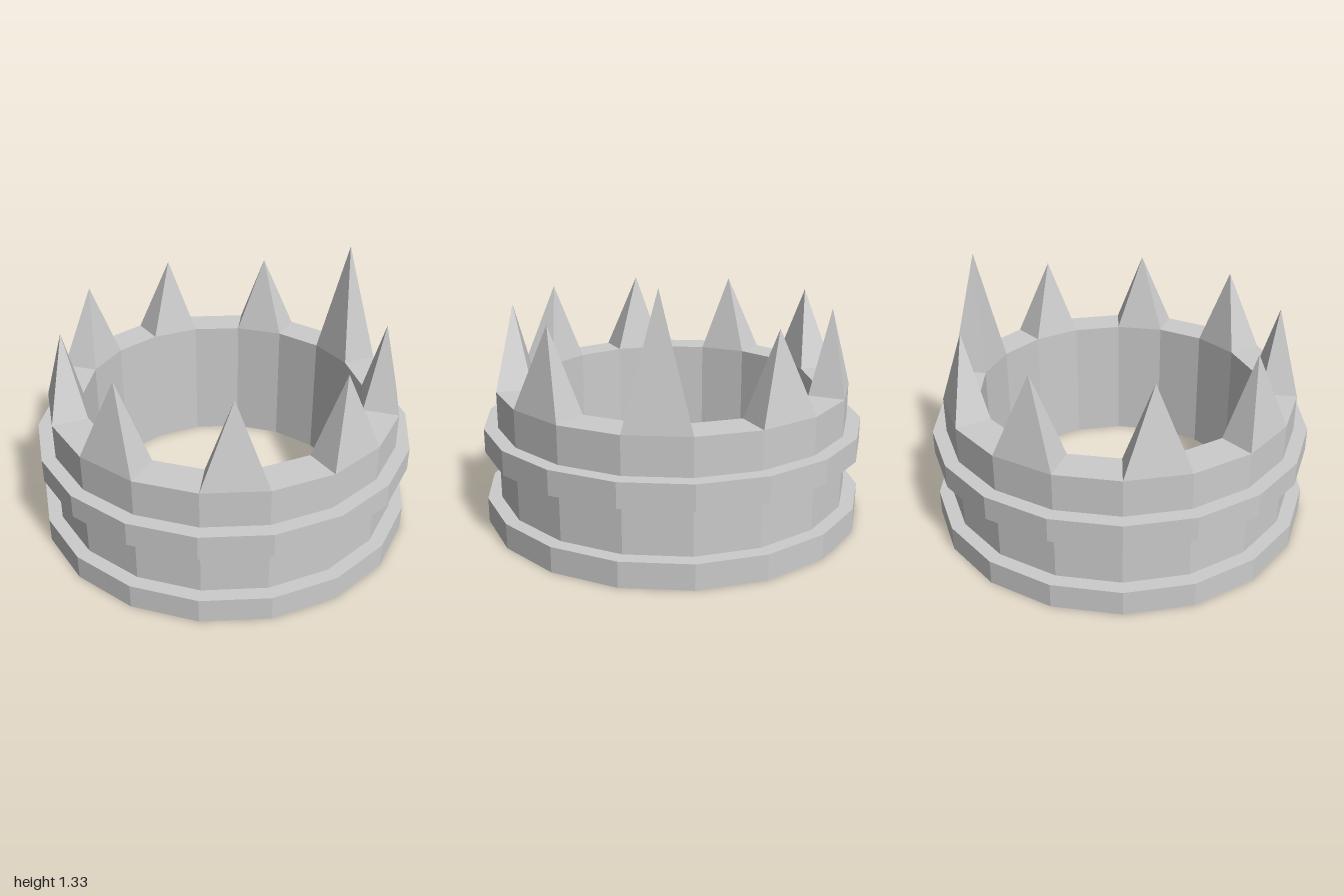
import * as THREE from 'three';

const SIDES = 18;
const R_BAND = 1, R_WALL = 0.928, R_INNER = 0.743;
const TOP = 0.7;

const material = new THREE.MeshStandardMaterial({ color: 0xcccccc, flatShading: true });

function addPart(group, name, geometry) {
  const flat = geometry.index ? geometry.toNonIndexed() : geometry;
  flat.computeVertexNormals();
  const mesh = new THREE.Mesh(flat, material);
  mesh.name = name;
  group.add(mesh);
}

// Point on the ring at a facet corner, counted from the front towards +x
function ringPoint(corner, radius, y) {
  const a = (corner / SIDES) * Math.PI * 2;
  return new THREE.Vector3(Math.sin(a) * radius, y, Math.cos(a) * radius);
}

// Four-sided spike filling the rim of one facet
function spikeGeometry(corner, height) {
  const base = [
    ringPoint(corner, R_WALL, TOP),
    ringPoint(corner + 1, R_WALL, TOP),
    ringPoint(corner + 1, R_INNER, TOP),
    ringPoint(corner, R_INNER, TOP),
  ];
  const apex = new THREE.Vector3();
  base.forEach((p) => apex.addScaledVector(p, 0.25));
  apex.y = height;
  const points = [];
  for (let i = 0; i < 4; i++) points.push(base[i], base[(i + 1) % 4], apex);
  return new THREE.BufferGeometry().setFromPoints(points);
}

export function createModel() {
  const crown = new THREE.Group();
  crown.name = 'crown';

  // Ring with two raised bands, as one closed profile
  const profile = [
    [R_INNER, 0], [R_BAND, 0], [R_BAND, 0.13], [R_WALL, 0.13],
    [R_WALL, 0.385], [R_BAND, 0.385], [R_BAND, 0.51], [R_WALL, 0.51],
    [R_WALL, TOP], [R_INNER, TOP], [R_INNER, 0],
  ].map(([r, y]) => new THREE.Vector2(r, y));
  addPart(crown, 'bandedRing', new THREE.LatheGeometry(profile, SIDES));

  // A spike on every second facet, the one on the left side taller
  for (let corner = 0; corner < SIDES; corner += 2) {
    const tall = corner === 4;
    addPart(crown, tall ? 'tallSpike' : 'spike', spikeGeometry(corner, tall ? 1.33 : 1.12));
  }
  return crown;
}
